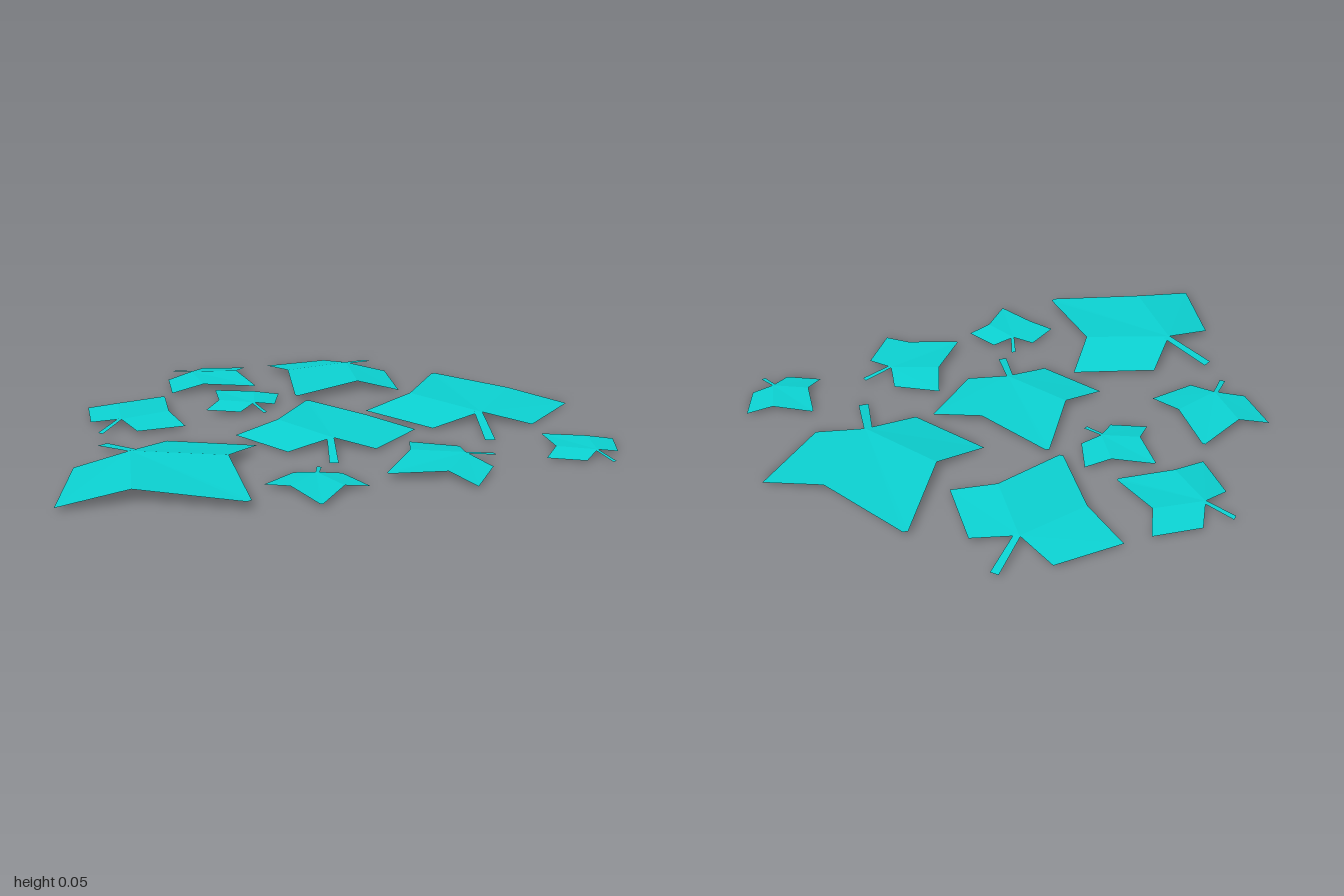
import * as THREE from 'three';

// Thin sheet from named corner points [across, forward, height] and corner loops
function sheet(points, faces) {
  const pos = [];
  for (const face of faces) {
    for (const key of face) {
      const [u, v, y] = points[key];
      pos.push(u, y, -v);
    }
  }
  const geo = new THREE.BufferGeometry();
  geo.setAttribute('position', new THREE.Float32BufferAttribute(pos, 3));
  geo.computeVertexNormals();
  return geo;
}

// Unit leaf: side lobes at -1 and +1, tip pointing forward
const H = 0.095; // height of the folded crest
const blade = {
  base: [0.027, -0.428, H],
  tipR: [-0.095, 0.985, H * 0.5], tipL: [-0.14, 0.985, H * 0.5],
  shoulderR: [0.48, 0.28, H], shoulderL: [-0.525, 0.21, H],
  lobeR: [1, 0, 0], lobeL: [-1, 0, 0],
  lowerR: [0.475, -0.597, H * 0.12], lowerL: [-0.467, -0.6, H * 0.12],
};
const bladeFaces = [
  ['base', 'tipR', 'tipL'],
  ['base', 'shoulderR', 'tipR'], ['base', 'tipL', 'shoulderL'],
  ['base', 'lobeR', 'shoulderR'], ['base', 'shoulderL', 'lobeL'],
  ['base', 'lowerR', 'lobeR'], ['base', 'lobeL', 'lowerL'],
];
const stem = {
  a: [-0.035, -0.41, H], b: [0.04, -0.42, H],
  c: [0.035, -0.93, 0], d: [-0.06, -0.93, 0],
};
const stemFaces = [['a', 'd', 'c'], ['a', 'c', 'b']];

// Left lobe x, z; right lobe x, z; resting height
const placements = [
  [0.21, -0.07, 0.995, 0.06, 0],
  [0.41, -0.25, -0.02, -0.73, 0.01],
  [-0.33, 0.07, 0.315, 0.19, 0.004],
  [-0.285, 0.215, -1, 0.57, 0.013],
  [-0.12, -0.735, -0.475, -0.465, 0.008],
  [-0.815, -0.37, -0.49, -0.06, 0.01],
  [-0.385, -0.21, -0.07, -0.33, 0.012],
  [-0.015, 0.655, -0.34, 0.55, 0.006],
  [0.315, 0.76, 0.245, 0.315, 0.008],
  [0.645, 0.585, 0.96, 0.475, 0.004],
];

export function createModel() {
  const model = new THREE.Group();
  model.name = 'scatteredLeaves';
  const turquoise = new THREE.MeshStandardMaterial({
    name: 'turquoise', color: 0x0bd0d0, side: THREE.DoubleSide, flatShading: true,
  });
  const bladeGeo = sheet(blade, bladeFaces);
  const stemGeo = sheet(stem, stemFaces);

  placements.forEach(([lx, lz, rx, rz, y], i) => {
    const leaf = new THREE.Group();
    leaf.name = `leaf${i + 1}`;
    for (const [name, geo] of [['blade', bladeGeo], ['stem', stemGeo]]) {
      const mesh = new THREE.Mesh(geo, turquoise);
      mesh.name = name;
      leaf.add(mesh);
    }
    leaf.position.set((lx + rx) / 2, y, (lz + rz) / 2);
    leaf.rotation.y = Math.atan2(lz - rz, rx - lx);
    leaf.scale.setScalar(Math.hypot(rx - lx, rz - lz) / 2);
    model.add(leaf);
  });
  return model;
}
